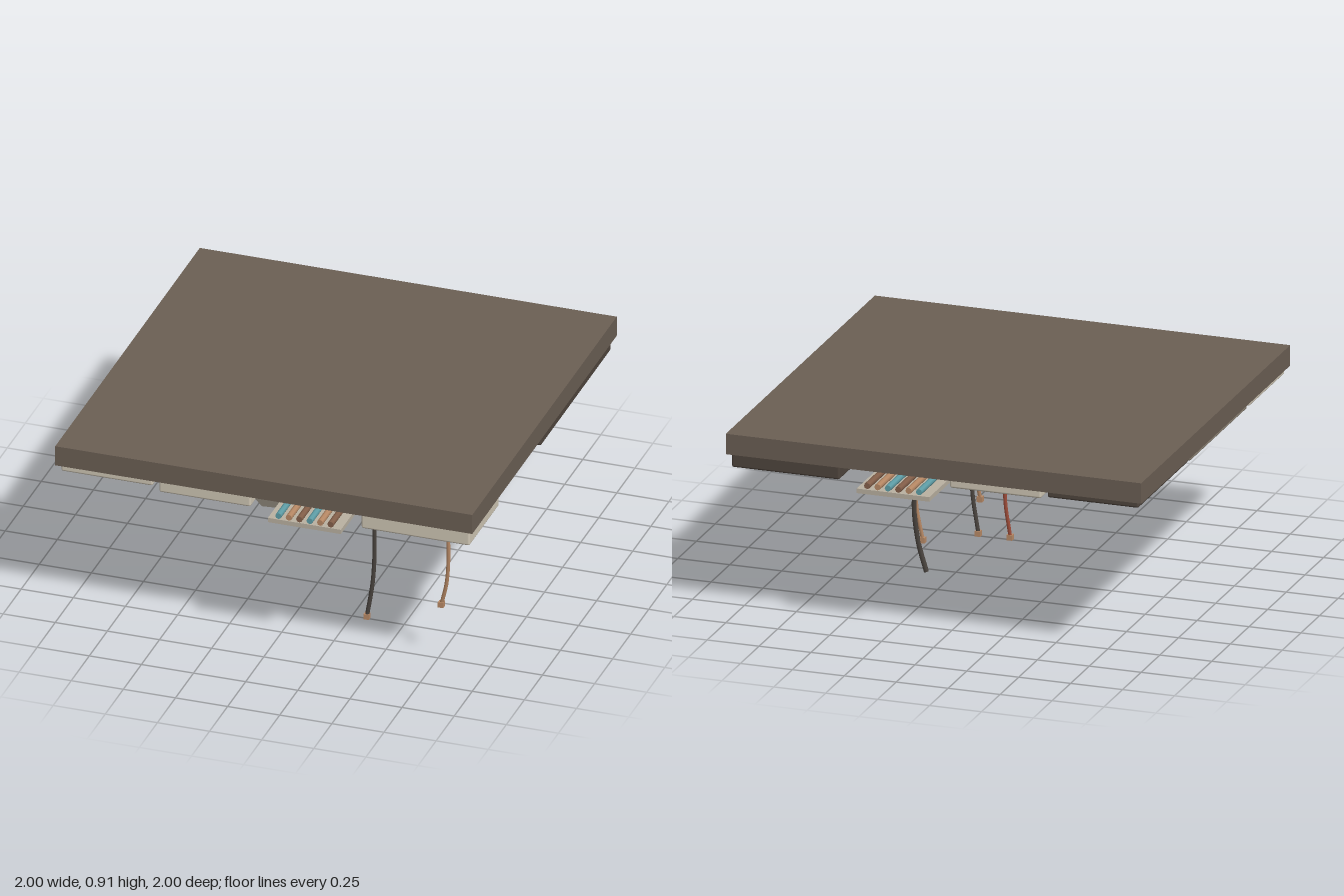
import * as THREE from 'three';
import { RoundedBoxGeometry } from 'three/addons/geometries/RoundedBoxGeometry.js';

const paint = (name, color) => {
  const m = new THREE.MeshStandardMaterial({ color });
  m.name = name;
  return m;
};

export function createModel() {
  const root = new THREE.Group();
  root.name = 'ceilingModule';
  const slabBrown = paint('slab brown', 0x6b5f54);
  const beige = paint('panel beige', 0xcfc6b4);
  const taupe = paint('panel taupe', 0x8f8577);
  const dark = paint('panel dark', 0x4f453d);
  const trayGrey = paint('tray grey', 0xbab1a1);
  const teal = paint('teal', 0x5f9fa8);
  const copper = paint('copper', 0xb98a66);
  const brown = paint('cable brown', 0x85604a);
  const rust = paint('rust red', 0xa5503c);
  const charcoal = paint('cable charcoal', 0x4a443f);

  const add = (name, geometry, material, parent = root) => {
    const mesh = new THREE.Mesh(geometry, material);
    mesh.name = name;
    parent.add(mesh);
    return mesh;
  };

  // Box given by its limits on each axis; a radius rounds the edges
  const block = (name, material, [x0, x1], [y0, y1], [z0, z1], radius = 0) => {
    const size = [x1 - x0, y1 - y0, z1 - z0];
    const geometry = radius
      ? new RoundedBoxGeometry(...size, 2, radius)
      : new THREE.BoxGeometry(...size);
    const mesh = add(name, geometry, material);
    mesh.position.set((x0 + x1) / 2, (y0 + y1) / 2, (z0 + z1) / 2);
    return mesh;
  };

  block('ceilingSlab', slabBrown, [-1, 1], [0.812, 0.91], [-1, 1]);

  // Panels fixed under the slab: columns on the left, centre and right
  const left = [0.46, 0.98], mid = [-0.51, -0.07], right = [-0.98, -0.54];
  const panels = [
    ['leftFrontPanel', beige, left, 0.735, [0.57, 0.98]],
    ['leftMiddlePanel', beige, left, 0.775, [0.02, 0.54]],
    ['leftBackPanel', dark, left, 0.745, [-0.98, -0.01]],
    ['centreFrontPanel', beige, mid, 0.75, [0.5, 0.98]],
    ['centreMiddlePanel', beige, mid, 0.76, [-0.28, 0.47]],
    ['centreBackPanel', beige, mid, 0.77, [-0.98, -0.31]],
    ['rightFrontPanel', beige, right, 0.775, [0.51, 0.98]],
    ['rightMiddlePanel', taupe, right, 0.775, [-0.28, 0.48]],
    ['rightBackPanel', dark, right, 0.78, [-0.98, -0.31]],
  ];
  for (const [name, material, x, y, z] of panels) {
    block(name, material, x, [y, 0.813], z, 0.01);
  }

  // Thin strips on the undersides of the panels
  block('leftRustStrip', rust, [0.5, 0.59], [0.741, 0.746], [-0.95, -0.05]);
  block('rightMiddleRustStrip', rust, [-0.95, -0.87], [0.771, 0.776], [-0.25, 0.45]);
  block('rightFrontRustStrip', rust, [-0.95, -0.87], [0.771, 0.776], [0.54, 0.95]);
  block('rightSlot', taupe, [-0.715, -0.69], [0.776, 0.781], [-0.91, -0.37]);

  // Cable tray with a row of straight pipes
  block('cableTray', trayGrey, [0.02, 0.37], [0.7, 0.722], [-1, 1]);
  const pipeColors = [teal, copper, brown];
  for (let i = 0; i < 6; i++) {
    const pipe = add('trayPipe', new THREE.CylinderGeometry(0.015, 0.015, 2, 8), pipeColors[i % 3]);
    pipe.rotation.x = Math.PI / 2;
    pipe.position.set(0.07 + i * 0.05, 0.74, 0);
  }

  // Round cable along a smooth path, closed at both ends
  const cable = (name, material, points, radius, segments = 16) => {
    const curve = new THREE.CatmullRomCurve3(points.map((p) => new THREE.Vector3(...p)));
    const group = new THREE.Group();
    group.name = name;
    root.add(group);
    add(name + 'Body', new THREE.TubeGeometry(curve, segments, radius, 8), material, group);
    for (const [t, side] of [[0, -1], [1, 1]]) {
      const cap = add(name + 'Cap', new THREE.CircleGeometry(radius, 8), material, group);
      cap.position.copy(curve.getPoint(t));
      cap.quaternion.setFromUnitVectors(
        new THREE.Vector3(0, 0, 1), curve.getTangent(t).multiplyScalar(side));
    }
  };

  // Cables sagging beneath the tray
  for (const [x, y, material, r] of [
    [0.17, 0.66, brown, 0.012], [0.22, 0.634, teal, 0.015], [0.32, 0.655, copper, 0.014],
  ]) {
    const points = [];
    for (let i = -4; i <= 4; i++) {
      const t = i / 4;
      points.push([x, y + (0.705 - y) * t * t, 0.8 * t]);
    }
    cable('saggingCable', material, points, r, 32);
  }

  // Loose hanging cables, most ending in a small connector
  const hanging = [
    [copper, 0.009, [[0.808, 0.74, 0.79], [0.81, 0.55, 0.78], [0.795, 0.4, 0.765], [0.767, 0.285, 0.755]], true],
    [charcoal, 0.01, [[0.34, 0.71, 0.515], [0.36, 0.5, 0.51], [0.352, 0.22, 0.5], [0.322, 0.015, 0.5]], true],
    [copper, 0.009, [[0.35, 0.71, 0.22], [0.367, 0.6, 0.22], [0.333, 0.495, 0.23]], true],
    [copper, 0.009, [[0.07, 0.71, -0.18], [0.09, 0.58, -0.18], [0.08, 0.425, -0.15]], true],
    [rust, 0.009, [[-0.15, 0.77, -0.38], [-0.12, 0.55, -0.375], [-0.133, 0.33, -0.34]], true],
    [copper, 0.009, [[0.235, 0.71, -0.54], [0.25, 0.52, -0.535], [0.227, 0.33, -0.51]], true],
    [charcoal, 0.012, [[0.235, 0.71, -0.55], [0.258, 0.5, -0.54], [0.245, 0.32, -0.52], [0.21, 0.18, -0.51]], false],
  ];
  for (const [material, radius, points, hasEnd] of hanging) {
    cable('hangingCable', material, points, radius);
    if (hasEnd) {
      const end = add('cableConnector', new THREE.BoxGeometry(0.026, 0.026, 0.026), copper);
      end.position.set(...points[points.length - 1]);
    }
  }

  // Fallen panel hanging at an angle below the centre column
  const fallen = add('fallenPanel', new RoundedBoxGeometry(0.44, 0.022, 0.42, 2, 0.005), beige);
  fallen.position.set(-0.04, 0.545, 0.45);
  fallen.rotation.set(-0.77, 0, 0.057, 'ZYX');

  return root;
}
